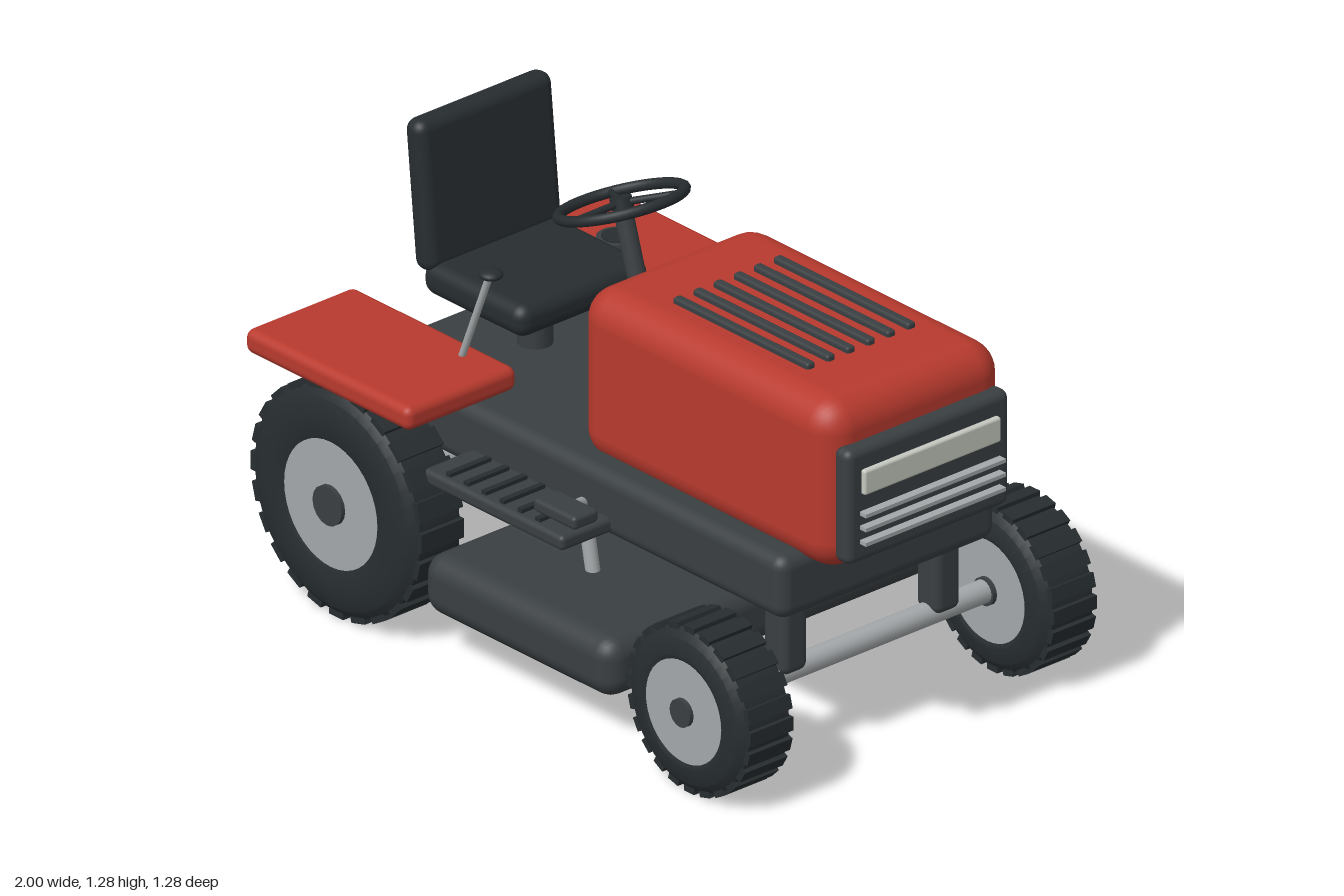
import * as THREE from 'three';
import { RoundedBoxGeometry } from 'three/addons/geometries/RoundedBoxGeometry.js';
import { toCreasedNormals } from 'three/addons/utils/BufferGeometryUtils.js';

const paint = (color) => new THREE.MeshStandardMaterial({ color });
const red = paint(0xb83a2e);
const dark = paint(0x3a3f42);
const black = paint(0x272d30);
const metal = paint(0xa4a8aa);
const lamp = paint(0xc6c9c0);

export function createModel() {
  const model = new THREE.Group();
  model.name = 'ridingMower';

  const add = (name, geometry, material, x = 0, y = 0, z = 0, parent = model) => {
    const mesh = new THREE.Mesh(geometry, material);
    mesh.name = name;
    mesh.position.set(x, y, z);
    parent.add(mesh);
    return mesh;
  };

  // Rounded box given by its extents along each axis
  const block = (name, [x0, x1], [y0, y1], [z0, z1], radius, material, segments = 3) =>
    add(name, new RoundedBoxGeometry(x1 - x0, y1 - y0, z1 - z0, segments, radius), material,
      (x0 + x1) / 2, (y0 + y1) / 2, (z0 + z1) / 2);

  // Round bar between two points
  const rod = (name, from, to, radius, material, parent = model) => {
    const a = new THREE.Vector3(...from), b = new THREE.Vector3(...to);
    const dir = b.clone().sub(a);
    const mid = a.clone().add(b).multiplyScalar(0.5);
    const mesh = add(name, new THREE.CylinderGeometry(radius, radius, dir.length(), 16), material,
      mid.x, mid.y, mid.z, parent);
    mesh.quaternion.setFromUnitVectors(new THREE.Vector3(0, 1, 0), dir.normalize());
    return mesh;
  };

  // Wheel: lathed tyre with tread lugs, rim and hub
  const wheel = (name, x, z, radius, rimRadius, hubRadius) => {
    const group = new THREE.Group();
    group.name = name;
    group.position.set(x, radius, z);
    model.add(group);
    const r = radius - 0.012;
    const half = [[rimRadius - 0.01, 0.088], [rimRadius + 0.01, 0.098], [r - 0.07, 0.098], [r - 0.025, 0.09], [r, 0.07]];
    const profile = [...half.map(([a, b]) => [a, -b]), ...half.reverse()]
      .map(([a, b]) => new THREE.Vector2(a, b));
    const tyre = toCreasedNormals(new THREE.LatheGeometry(profile, 40), 0.5);
    add('tyre', tyre.rotateX(Math.PI / 2), black, 0, 0, 0, group);
    const lugs = 24;
    for (let i = 0; i < lugs; i++) {
      const a = (i / lugs) * Math.PI * 2;
      const lug = add('treadLug', new THREE.BoxGeometry(0.03, r * 0.17, 0.15), black,
        Math.cos(a) * (radius - 0.016), Math.sin(a) * (radius - 0.016), 0, group);
      lug.rotation.z = a;
    }
    rod('rim', [0, 0, -0.094], [0, 0, 0.094], rimRadius, metal, group).geometry =
      new THREE.CylinderGeometry(rimRadius, rimRadius, 0.188, 40);
    rod('hub', [0, 0, -0.107], [0, 0, 0.107], hubRadius, dark, group);
  };

  // Chassis and cutting deck
  block('chassis', [-0.855, 0.82], [0.455, 0.64], [-0.38, 0.38], 0.04, dark);
  block('cuttingDeck', [-0.355, 0.39], [0.13, 0.305], [-0.6, 0.6], 0.06, dark);

  // Bonnet with vent slats
  block('bonnet', [-0.065, 0.935], [0.6, 1.095], [-0.315, 0.315], 0.09, red, 4);
  for (let i = 0; i < 6; i++) {
    const z = -0.176 + i * 0.0704;
    block('bonnetSlat', [0.18, 0.71], [1.085, 1.112], [z - 0.014, z + 0.014], 0.008, dark, 2);
  }

  // Grille with headlight panel and bars
  block('grille', [0.91, 0.975], [0.645, 0.98], [-0.285, 0.285], 0.025, dark);
  block('headlight', [0.955, 0.99], [0.847, 0.92], [-0.24, 0.24], 0.008, lamp, 2);
  for (const y of [0.711, 0.753, 0.794]) {
    add('grilleBar', new THREE.BoxGeometry(0.035, 0.011, 0.49), metal, 0.9825, y, 0);
  }

  // Axles
  rod('rearAxle', [-0.67, 0.335, -0.5], [-0.67, 0.335, 0.5], 0.03, metal);
  rod('frontAxle', [0.71, 0.245, -0.5], [0.71, 0.245, 0.5], 0.033, metal);

  // Parts mirrored on both sides
  for (const s of [1, -1]) {
    const span = (a, b) => (s > 0 ? [a, b] : [-b, -a]);
    wheel('rearWheel', -0.67, s * 0.532, 0.335, 0.182, 0.057);
    wheel('frontWheel', 0.71, s * 0.532, 0.243, 0.147, 0.04);
    block('fender', [-1, -0.355], [0.66, 0.73], span(0.25, 0.637), 0.025, red);
    block('axlePost', [0.665, 0.755], [0.25, 0.48], span(0.223, 0.313), 0.025, dark);
    rod('deckLink', [-0.01, 0.48, s * 0.33], [0.03, 0.28, s * 0.33], 0.02, metal);
    // Footrest with grip ribs
    block('footrest', [-0.4, 0.15], [0.473, 0.517], span(0.35, 0.55), 0.015, dark);
    for (let i = 0; i < 6; i++) {
      add('footrestRib', new THREE.BoxGeometry(0.018, 0.016, 0.145), black,
        -0.315 + i * 0.07, 0.52, s * 0.46);
    }
  }

  // Brake pedal
  rod('pedalArm', [0.03, 0.515, 0.36], [0.1, 0.56, 0.48], 0.017, metal);
  block('pedal', [0.025, 0.19], [0.547, 0.585], [0.455, 0.542], 0.012, dark);

  // Seat
  rod('seatPost', [-0.568, 0.62, 0], [-0.568, 0.8, 0], 0.048, dark);
  block('seatCushion', [-0.765, -0.365], [0.785, 0.88], [-0.23, 0.23], 0.04, black);
  const back = block('seatBack', [-0.808, -0.733], [0.85, 1.28], [-0.238, 0.238], 0.034, black);
  back.rotation.z = 0.1;

  // Fuel cap on the right fender
  add('fuelCap', new THREE.CylinderGeometry(0.056, 0.056, 0.03, 24), dark, -0.727, 0.73, -0.43);
  add('fuelCapTop', new THREE.CylinderGeometry(0.042, 0.042, 0.006, 24), black, -0.727, 0.746, -0.43);

  // Shift lever on the left fender
  rod('lever', [-0.51, 0.71, 0.315], [-0.392, 1.01, 0.315], 0.01, metal);
  const knob = add('leverKnob', new THREE.SphereGeometry(0.033, 20, 12), black, -0.39, 1.008, 0.315);
  knob.scale.y = 0.45;

  // Steering column and wheel
  rod('steeringColumn', [-0.06, 0.62, 0], [-0.23, 1.17, 0], 0.026, dark);
  const steering = new THREE.Group();
  steering.name = 'steeringWheel';
  steering.position.set(-0.23, 1.172, 0);
  steering.rotation.z = 0.347;
  model.add(steering);
  add('steeringRim', new THREE.TorusGeometry(0.171, 0.015, 10, 40).rotateX(Math.PI / 2), black, 0, 0, 0, steering);
  add('steeringHub', new THREE.CylinderGeometry(0.03, 0.03, 0.03, 20), black, 0, 0, 0, steering);
  for (let i = 0; i < 3; i++) {
    const a = Math.PI / 2 + (i * Math.PI * 2) / 3;
    rod('steeringSpoke', [0, 0, 0], [Math.cos(a) * 0.17, 0, Math.sin(a) * 0.17], 0.01, black, steering);
  }

  return model;
}
